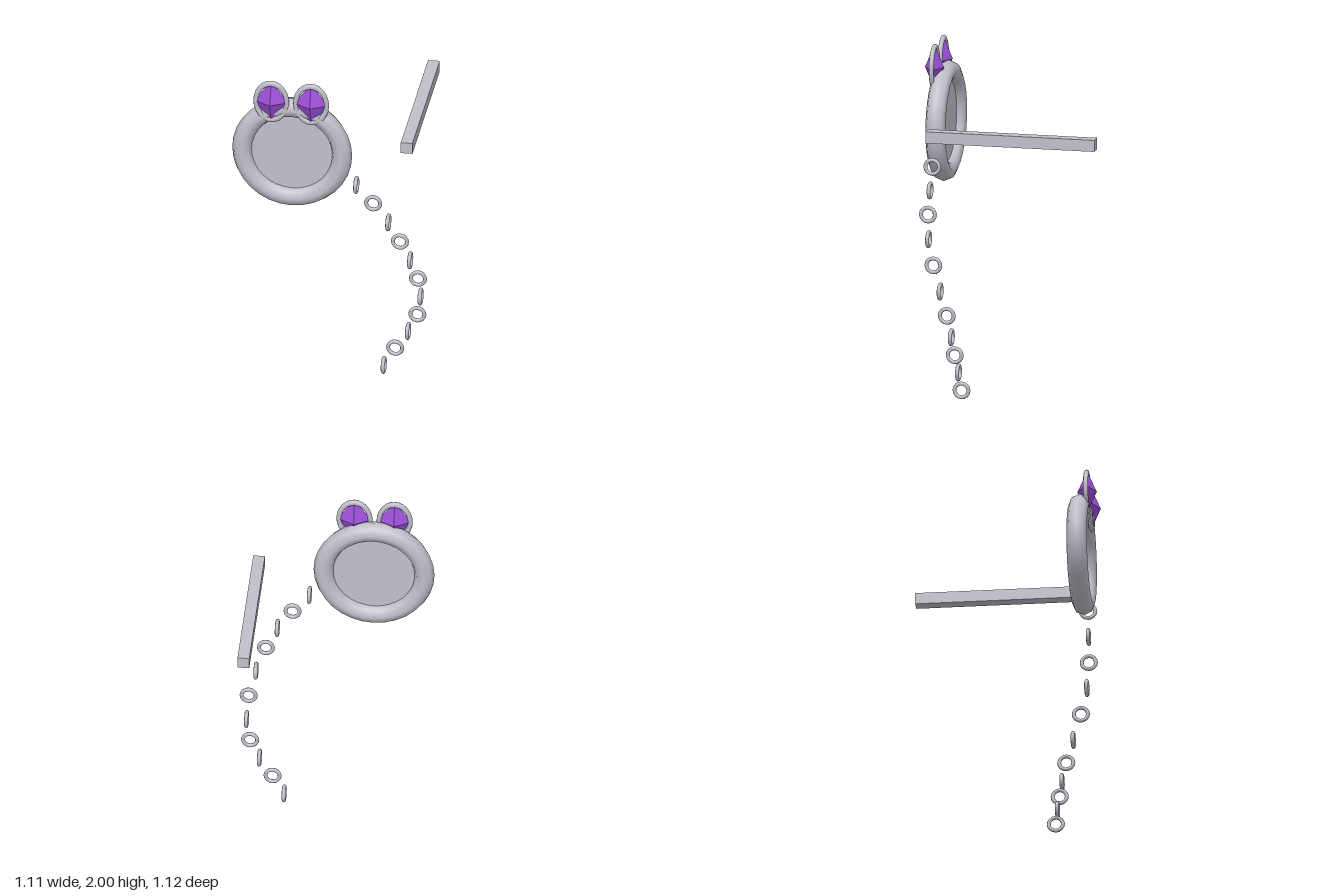
import * as THREE from 'three';

export function createModel() {
  const model = new THREE.Group();
  const silver = new THREE.MeshStandardMaterial({ color: 0xc0c0cc });
  silver.name = 'silver';
  const purple = new THREE.MeshStandardMaterial({ color: 0x9a4fd6 });
  purple.name = 'purple';

  function add(name, geometry, material, x, y, z) {
    const mesh = new THREE.Mesh(geometry, material);
    mesh.name = name;
    mesh.position.set(x, y, z);
    model.add(mesh);
    return mesh;
  }

  // Round pendant: rim and thin backing disc
  add('rim', new THREE.TorusGeometry(0.29, 0.059, 8, 32), silver, -0.21, 1.525, 0.46);
  const disc = new THREE.CylinderGeometry(0.25, 0.25, 0.02, 32).rotateX(Math.PI / 2);
  add('disc', disc, silver, -0.21, 1.525, 0.46);

  // Ears: oval rings, each holding a faceted gem
  const earRing = new THREE.TorusGeometry(0.09, 0.0145, 8, 24).scale(1, 1.3, 1);
  const gem = new THREE.OctahedronGeometry(1).scale(0.1, 0.133, 0.056);
  for (const [side, x] of [['right', -0.325], ['left', -0.093]]) {
    add(side + 'EarRing', earRing, silver, x, 1.865, 0.503);
    add(side + 'EarGem', gem, purple, x, 1.865, 0.503);
  }

  // Crossbar
  add('bar', new THREE.BoxGeometry(0.068, 0.068, 0.995), silver, 0.451, 1.585, -0.068);

  // Hanging chain: links turn a quarter from one to the next
  const link = new THREE.TorusGeometry(0.041, 0.0115, 8, 16);
  const centres = [
    [0.163, 1.336, 0.46], [0.26, 1.22, 0.452], [0.347, 1.098, 0.445], [0.412, 0.968, 0.427],
    [0.465, 0.828, 0.387], [0.503, 0.685, 0.339], [0.511, 0.545, 0.298], [0.489, 0.415, 0.276],
    [0.434, 0.296, 0.268], [0.358, 0.177, 0.263], [0.291, 0.056, 0.26],
  ];
  centres.forEach(([x, y, z], i) => {
    const mesh = add('chainLink' + (i + 1), link, silver, x, y, z);
    if (i % 2 === 0) mesh.rotation.y = Math.PI / 2;
  });

  return model;
}
